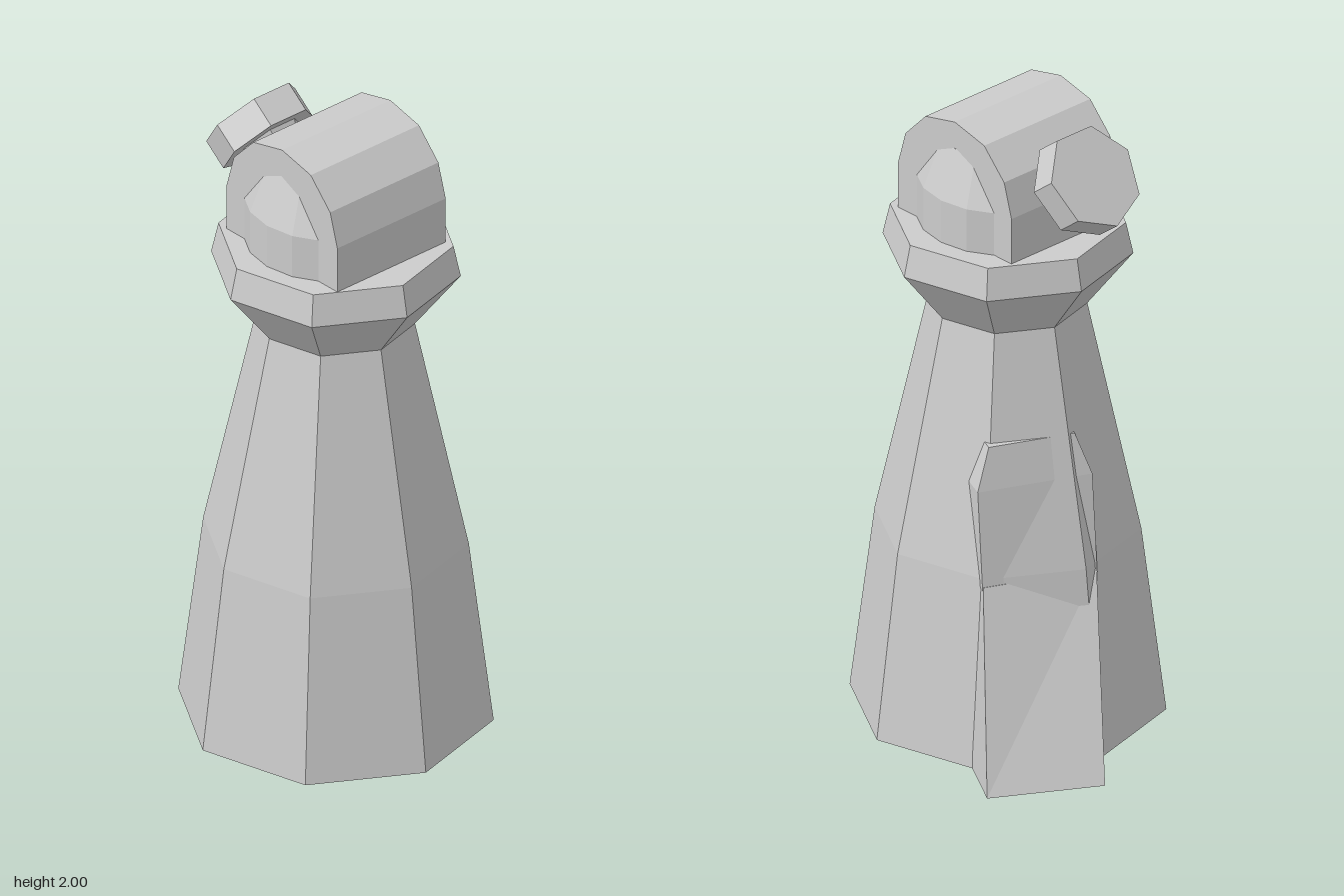
import * as THREE from 'three';

const material = new THREE.MeshStandardMaterial({ color: 0xcccccc, flatShading: true, side: THREE.DoubleSide });

function addPart(parent, name, geometry, x = 0, y = 0, z = 0) {
  const mesh = new THREE.Mesh(geometry, material);
  mesh.name = name;
  mesh.position.set(x, y, z);
  parent.add(mesh);
  return mesh;
}

const toPoints = (list) => list.map(([r, y]) => new THREE.Vector2(r, y));

// Loft through four-cornered rings, listed bottom to top, closed at both ends
function loft(rings) {
  const positions = [];
  const tri = (...corners) => corners.forEach((c) => positions.push(...c));
  for (let r = 0; r < rings.length - 1; r++) {
    for (let i = 0; i < 4; i++) {
      const j = (i + 1) % 4;
      const [low, high] = [rings[r], rings[r + 1]];
      tri(low[i], low[j], high[j]);
      tri(low[i], high[j], high[i]);
    }
  }
  const [b, t] = [rings[0], rings[rings.length - 1]];
  tri(t[0], t[1], t[2]);
  tri(t[0], t[2], t[3]);
  tri(b[0], b[2], b[1]);
  tri(b[0], b[3], b[2]);
  const geometry = new THREE.BufferGeometry();
  geometry.setAttribute('position', new THREE.Float32BufferAttribute(positions, 3));
  geometry.computeVertexNormals();
  return geometry;
}

// Rectangle at height y: centre of the outer edge, heading, half width, depth towards the tower
function rectRing(y, cx, cz, angle, half, depth) {
  const [c, s] = [Math.cos(angle), Math.sin(angle)];
  const corner = (side, inward) => [cx + side * half * c - inward * s, y, cz + side * half * s + inward * c];
  return [corner(1, 0), corner(-1, 0), corner(-1, depth), corner(1, depth)];
}

export function createModel() {
  const model = new THREE.Group();
  model.name = 'windmill';
  const cx = -0.01;
  const cz = 0.066;

  // Eight-sided tower with flared gallery, open underneath
  const towerProfile = toPoints([
    [0.475, 0], [0.4, 0.6], [0.238, 1.34], [0.376, 1.52], [0.354, 1.62], [0, 1.62],
  ]);
  addPart(model, 'tower', new THREE.LatheGeometry(towerProfile, 8, -0.138), cx, 0, cz);

  // Ramp rising from the ground to the rear doorway
  addPart(model, 'ramp', loft([
    rectRing(0, 0.32, -0.45, 0.526, 0.179, 0.19),
    rectRing(0.58, 0.159, -0.252, 0.411, 0.178, 0.12),
  ]));

  // Doorway with a narrower, sloping top
  addPart(model, 'doorway', loft([
    rectRing(0.57, 0.159, -0.252, 0.411, 0.18, 0.12),
    rectRing(0.88, 0.144, -0.215, 0.411, 0.18, 0.12),
    rectRing(1.01, 0.134, -0.19, 0.411, 0.135, 0.12),
  ]));

  // Arched cap, extruded from side to side
  const half = [[0.245, 1.62], [0.245, 1.77], [0.213, 1.88], [0.127, 1.97]];
  const outline = [...half, [0, 2], ...half.map(([x, y]) => [-x, y]).reverse()];
  const arch = new THREE.ExtrudeGeometry(new THREE.Shape(toPoints(outline)), { depth: 0.43, bevelEnabled: false });
  arch.rotateY(Math.PI / 2);
  addPart(model, 'cap', arch, -0.228, 0, 0.07);

  // Rounded ends of the cap: a dome kept within the arch front and back
  const domeProfile = toPoints([[0.273, 1.62], [0.273, 1.76], [0.215, 1.912], [0.12, 1.965], [0, 1.98]]);
  const dome = new THREE.LatheGeometry(domeProfile, 18, Math.PI / 2);
  const pos = dome.attributes.position;
  for (let i = 0; i < pos.count; i++) {
    const limit = pos.getY(i) > 1.8 ? 0.17 : 0.235;
    pos.setZ(i, THREE.MathUtils.clamp(pos.getZ(i), -limit, limit));
  }
  dome.computeVertexNormals();
  addPart(model, 'capEnds', dome, -0.012, 0, 0.067);

  // Seven-sided hub on a tapered neck, tilted up and back
  const hub = new THREE.Group();
  hub.name = 'hub';
  hub.position.set(-0.016, 1.88, -0.302);
  hub.rotation.x = -0.906;
  addPart(hub, 'hubDisc', new THREE.CylinderGeometry(0.159, 0.159, 0.096, 7, 1, false, Math.PI), 0, -0.048, 0);
  addPart(hub, 'hubNeck', new THREE.CylinderGeometry(0.112, 0.045, 0.13, 7, 1, false, Math.PI), 0, -0.16, 0);
  model.add(hub);

  return model;
}
